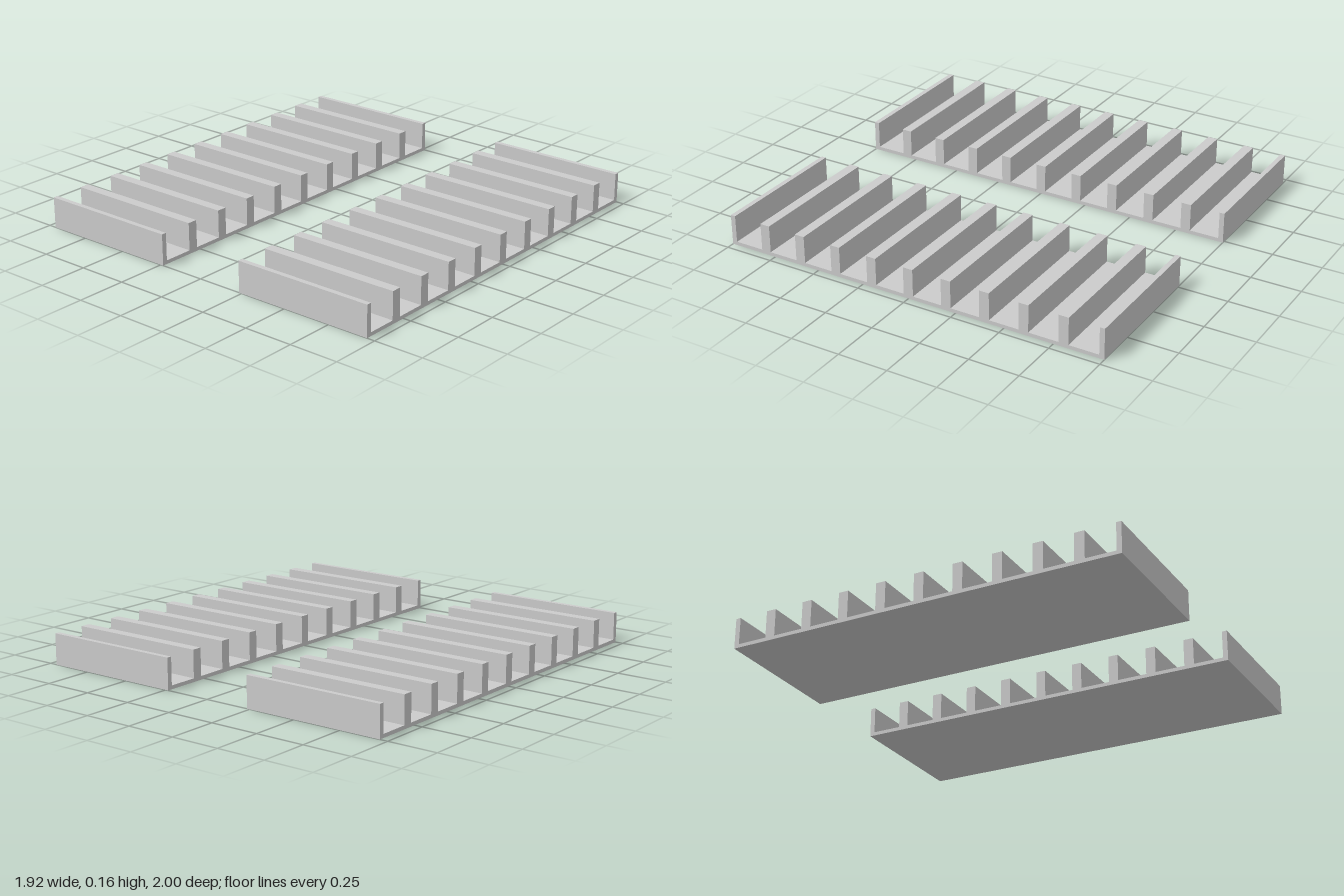
import * as THREE from 'three';

const WIDTH = 0.725, CENTRE_X = 0.5975, HEIGHT = 0.155, BASE = 0.018;
const BAYS = 10, PITCH = 2 / BAYS, WALL = 0.025;

// Comb-shaped side profile: a thin floor with evenly spaced upright ribs
function combProfile() {
  const shape = new THREE.Shape();
  shape.moveTo(-1, 0);
  shape.lineTo(1, 0);
  shape.lineTo(1, HEIGHT);
  for (let i = BAYS - 1; i >= 0; i--) {
    const start = -1 + i * PITCH + WALL;
    const end = -1 + (i + 1) * PITCH - WALL;
    shape.lineTo(end, HEIGHT);
    shape.lineTo(end, BASE);
    shape.lineTo(start, BASE);
    shape.lineTo(start, HEIGHT);
  }
  shape.lineTo(-1, HEIGHT);
  shape.closePath();
  return shape;
}

export function createModel() {
  const group = new THREE.Group();
  group.name = 'ribbedTrays';
  const material = new THREE.MeshStandardMaterial({ color: 0xcccccc });

  // Sweep the profile across the tray width, with its length along z
  const geometry = new THREE.ExtrudeGeometry(combProfile(), { depth: WIDTH, bevelEnabled: false });
  geometry.translate(0, 0, -WIDTH / 2);
  geometry.rotateY(-Math.PI / 2);

  // Matching trays on both sides
  for (const [name, side] of [['leftTray', 1], ['rightTray', -1]]) {
    const tray = new THREE.Mesh(geometry, material);
    tray.name = name;
    tray.position.x = side * CENTRE_X;
    group.add(tray);
  }
  return group;
}
